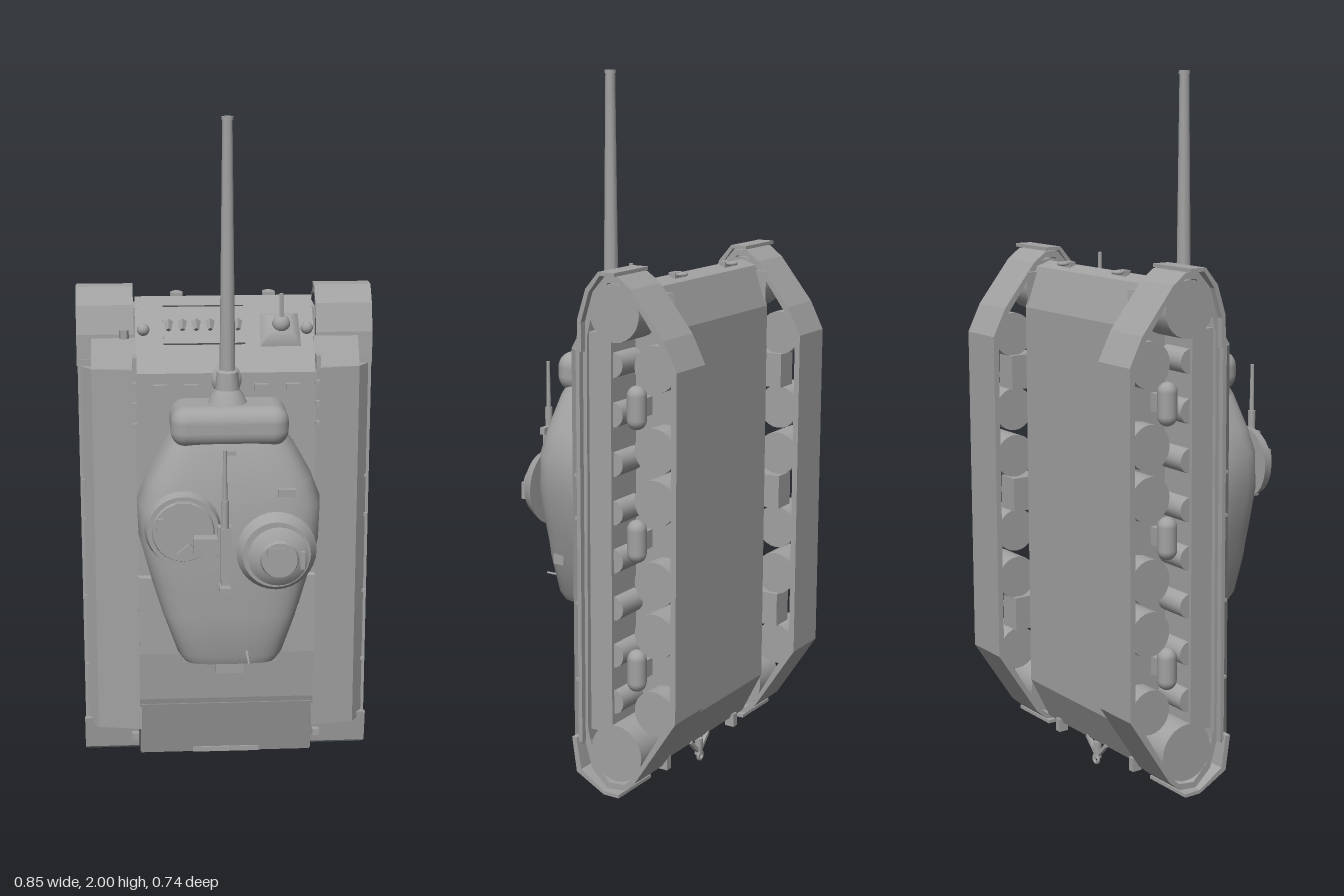
import * as THREE from 'three';
import { toCreasedNormals } from 'three/addons/utils/BufferGeometryUtils.js';
import { RoundedBoxGeometry } from 'three/addons/geometries/RoundedBoxGeometry.js';

const grey = new THREE.MeshStandardMaterial({ color: 0xa2a2a2 });
grey.name = 'grey';

const shapeOf = (pts) => new THREE.Shape(pts.map(([a, b]) => new THREE.Vector2(a, b)));

// Profile of [z, y] points extruded from x0 to x1, with an optional hole
function profileX(pts, x0, x1, hole) {
  const s = shapeOf(pts);
  if (hole) s.holes.push(shapeOf(hole));
  return new THREE.ExtrudeGeometry(s, { depth: x1 - x0, bevelEnabled: false })
    .rotateY(-Math.PI / 2).translate(x1, 0, 0);
}
// Section of [x, z] points extruded from y0 to y1
function prismY(pts, y0, y1) {
  return new THREE.ExtrudeGeometry(shapeOf(pts.map(([x, z]) => [x, -z])), { depth: y1 - y0, bevelEnabled: false })
    .rotateX(-Math.PI / 2).translate(0, y0, 0);
}
// Cast turret body: superelliptic sections [y, halfWidth, z0, z1] lofted downwards
function loft(sections, n = 40) {
  const pos = [], idx = [];
  const tip = ([y, , z0, z1]) => [y, 0, (z0 + z1) / 2, (z0 + z1) / 2];
  const rings = [tip(sections[0]), ...sections, tip(sections[sections.length - 1])];
  const pw = (v) => Math.sign(v) * Math.sqrt(Math.abs(v));
  rings.forEach(([y, w, z0, z1], i) => {
    for (let j = 0; j < n; j++) {
      const t = ((j + 0.5) / n) * Math.PI * 2, v = pw(Math.sin(t));
      const taper = 1 - 0.08 * Math.max(v, 0);
      pos.push(w * taper * pw(Math.cos(t)), y, (z0 + z1) / 2 + (v * (z1 - z0)) / 2);
      if (i < rings.length - 1) {
        const a = i * n + j, b = i * n + ((j + 1) % n);
        idx.push(a, b, a + n, b, b + n, a + n);
      }
    }
  });
  const g = new THREE.BufferGeometry();
  g.setAttribute('position', new THREE.Float32BufferAttribute(pos, 3));
  g.setIndex(idx);
  return toCreasedNormals(g, 0.7);
}

export function createModel() {
  const model = new THREE.Group();
  const add = (name, geo, x = 0, y = 0, z = 0, parent = model) => {
    const m = new THREE.Mesh(geo, grey);
    m.name = name;
    m.position.set(x, y, z);
    parent.add(m);
    return m;
  };
  const box = (name, w, h, d, x, y, z, parent) => add(name, new THREE.BoxGeometry(w, h, d), x, y, z, parent);
  // Cylinder along a chosen axis; the first radius is the +axis end
  const cyl = (name, axis, r1, r2, len, x, y, z, parent, seg = 24) => {
    const g = new THREE.CylinderGeometry(r1, r2, len, seg);
    if (axis === 'x') g.rotateZ(-Math.PI / 2);
    if (axis === 'z') g.rotateX(Math.PI / 2);
    return add(name, toCreasedNormals(g, 0.9), x, y, z, parent);
  };

  // Hull tub with sloped front and rear plates, bow towards +y
  add('hull', profileX([[-0.18, 1.46], [-0.225, 1.445], [-0.265, 1.33], [-0.265, 0.2], [-0.2, 0.07], [-0.05, 0.07],
    [0, 0.25], [0, 1.27]], -0.258, 0.258));
  add('engineDeck', profileX([[-0.05, 0.075], [0.005, 0.27], [0.02, 0.42], [0.02, 0.66], [-0.02, 0.665]], -0.26, 0.26));

  // Track loop and fender profiles
  const loop = [[-0.07, 0.2], [-0.1, 0.1], [-0.15, 0.055], [-0.205, 0.06], [-0.24, 0.09], [-0.37, 0.29], [-0.37, 1.25],
    [-0.33, 1.33], [-0.23, 1.455], [-0.19, 1.485], [-0.15, 1.485], [-0.1, 1.43], [-0.075, 1.33]];
  const inner = loop.map(([z, y]) => [-0.22 + (z + 0.22) * 0.89, 0.77 + (y - 0.77) * 0.975]);
  const frontCap = [[-0.07, 1.28], [-0.074, 1.37], [-0.1, 1.45], [-0.14, 1.497], [-0.19, 1.497], [-0.19, 1.487],
    [-0.145, 1.487], [-0.11, 1.44], [-0.085, 1.36], [-0.085, 1.28]];
  const rearCap = [[-0.045, 0.19], [-0.06, 0.09], [-0.15, 0.043], [-0.2, 0.043], [-0.2, 0.053], [-0.15, 0.053],
    [-0.075, 0.1], [-0.06, 0.19]];
  const shoulder = [[0.255, -0.002], [0.385, -0.025], [0.42, -0.072], [0.255, -0.072]];

  for (const s of [1, -1]) {
    const span = (a, b) => (s > 0 ? [a, b] : [-b, -a]);
    const side = new THREE.Group();
    side.name = s > 0 ? 'leftRunningGear' : 'rightRunningGear';
    model.add(side);
    add('track', profileX(loop, ...span(0.265, 0.408), inner), 0, 0, 0, side);
    add('frontFender', profileX(frontCap, ...span(0.263, 0.427)), 0, 0, 0, side);
    add('rearFender', profileX(rearCap, ...span(0.263, 0.427)), 0, 0, 0, side);
    box('fenderShelf', 0.165, 1.12, 0.012, s * 0.342, 0.74, -0.072, side);

    // Sponson with sloped shoulder and tapering nose
    add('sponson', prismY(shoulder.map(([x, z]) => [s * x, z]), 0.17, 1.28), 0, 0, 0, side);
    add('sponsonNose', profileX([[-0.074, 1.28], [-0.025, 1.28], [-0.074, 1.36]], ...span(0.255, 0.385)), 0, 0, 0, side);
    add('bowCheek', prismY([[s * 0.25, -0.264], [s * 0.25, -0.15], [s * 0.268, -0.15], [s * 0.268, -0.25]], 1.2, 1.43),
      0, 0, 0, side);

    // Road wheels, drive and idler wheels
    for (const y of [0.3, 0.52, 0.665, 0.89, 1.03, 1.25])
      cyl('roadWheel', 'x', 0.063, 0.063, 0.115, s * 0.337, y, -0.295, side);
    cyl('driveSprocket', 'x', 0.078, 0.078, 0.11, s * 0.335, 1.385, -0.165, side);
    cyl('idlerWheel', 'x', 0.082, 0.082, 0.11, s * 0.335, 0.155, -0.168, side);
    // Suspension units between wheel pairs
    for (const y of [0.41, 0.775, 1.14]) {
      box('bogie', 0.07, 0.1, 0.1, s * 0.3, y, -0.26, side);
      add('springHousing', new THREE.CapsuleGeometry(0.027, 0.065, 6, 14), s * 0.385, y, -0.233, side);
      box('springArm', 0.12, 0.05, 0.035, s * 0.325, y, -0.233, side);
    }
    // Upper run resting on its return rollers
    box('upperRun', 0.12, 1.12, 0.07, s * 0.33, 0.77, -0.12, side);
    for (let i = 0; i < 8; i++)
      cyl('returnRoller', 'x', 0.035, 0.035, 0.1, s * 0.33, 0.3 + i * 0.135, -0.15, side, 16);

    // Lamps and brackets on the hull
    add('headlight', new THREE.SphereGeometry(0.018, 14, 10), s * 0.235, 1.385, -0.065);
    cyl('headlightStem', 'z', 0.007, 0.007, 0.06, s * 0.235, 1.375, -0.09, model, 10);
    box('lampGuard', 0.012, 0.04, 0.04, s * 0.262, 1.3, -0.005);
    for (let i = 0; i < 3; i++) box('sideClip', 0.012, 0.012, 0.025, s * 0.262, 1.12 + i * 0.06, 0);
    add('bowTowEye', new THREE.TorusGeometry(0.013, 0.005, 8, 16).rotateX(Math.PI / 2), s * 0.135, 1.463, -0.215);
    box('bowTowBracket', 0.036, 0.02, 0.02, s * 0.135, 1.458, -0.195);
    for (const x of [0.1, 0.19]) box('periscope', 0.04, 0.018, 0.022, s * x, 1.23, 0.005);
    box('rearLamp', 0.02, 0.02, 0.02, s * 0.275, 0.13, -0.045);
    box('rearTowBracket', 0.02, 0.04, 0.03, s * 0.19, 0.065, -0.2);
    for (const y of [0.36, 0.58, 0.82, 0.94]) box('sideRib', 0.012, 0.008, 0.02, s * 0.416, y, -0.066);
  }
  cyl('markerLamp', 'y', 0.014, 0.014, 0.025, -0.29, 1.375, -0.055, model, 14);

  // Sloped bow plate equipment, local z is the plate normal
  const bow = new THREE.Group();
  bow.name = 'bowEquipment';
  bow.position.set(0, 1.365, -0.09);
  bow.rotation.x = -0.81;
  model.add(bow);
  box('spareLinkRack', 0.235, 0.135, 0.008, -0.06, 0.03, 0.004, bow);
  box('rackRail', 0.235, 0.006, 0.014, -0.06, 0.094, 0.007, bow);
  for (let i = 0; i < 6; i++) cyl('linkTooth', 'y', 0.014, 0.008, 0.03, -0.162 + i * 0.04, 0.02, 0.015, bow, 4);
  cyl('bowGunMount', 'z', 0.045, 0.082, 0.03, 0.16, 0.012, 0.015, bow, 4).rotation.z = Math.PI / 4;
  add('bowGunBall', new THREE.SphereGeometry(0.026, 18, 12), 0.162, 0.012, 0.03, bow);
  cyl('bowGunBarrel', 'y', 0.006, 0.006, 0.09, 0.162, 1.44, -0.07, model, 10);
  add('ventilatorDome', new THREE.SphereGeometry(0.045, 20, 12).scale(1, 1, 0.6), 0, 1.25, -0.006);

  // Turret
  const turret = new THREE.Group();
  turret.name = 'turret';
  model.add(turret);
  add('turretBody', loft([[1.125, 0.16, 0.025, 0.18], [1.09, 0.185, 0.01, 0.195], [1, 0.235, 0.004, 0.215],
    [0.93, 0.262, 0.004, 0.228], [0.82, 0.258, 0.004, 0.235], [0.7, 0.226, 0.004, 0.233], [0.655, 0.212, 0.015, 0.231],
    [0.61, 0.197, 0.05, 0.229], [0.49, 0.153, 0.073, 0.222], [0.465, 0.135, 0.085, 0.212]]), 0, 0, 0, turret);
  cyl('turretRing', 'z', 0.22, 0.22, 0.03, 0, 0.89, 0.004, turret, 40);
  add('mantlet', new RoundedBoxGeometry(0.33, 0.115, 0.18, 4, 0.045), 0, 1.155, 0.108, turret);
  box('mantletSight', 0.03, 0.02, 0.02, 0.105, 1.195, 0.15, turret);

  // Main gun
  const gun = [[0, 1.2], [0.06, 1.2], [0.045, 1.235], [0.034, 1.25], [0.03, 1.3], [0.022, 1.305], [0.014, 1.99],
    [0.016, 1.99], [0.016, 2], [0.009, 2], [0.009, 1.95], [0, 1.95]].map(([r, y]) => new THREE.Vector2(r, y));
  add('mainGun', toCreasedNormals(new THREE.LatheGeometry(gun, 24), 0.5), -0.004, 0, 0.108, turret);

  // Commander's cupola
  cyl('cupolaBase', 'z', 0.095, 0.115, 0.035, 0.125, 0.81, 0.245, turret, 32);
  cyl('cupolaDome', 'z', 0.055, 0.088, 0.025, 0.13, 0.805, 0.273, turret, 32);
  cyl('cupolaCap', 'z', 0.05, 0.055, 0.014, 0.13, 0.805, 0.29, turret, 24);
  box('cupolaPeriscope', 0.05, 0.022, 0.012, 0.12, 0.83, 0.296, turret);
  box('cupolaHandle', 0.012, 0.05, 0.015, 0.195, 0.8, 0.28, turret);

  // Flat crew hatch
  cyl('hatchRing', 'z', 0.1, 0.108, 0.03, -0.135, 0.88, 0.238, turret, 32);
  cyl('hatchLid', 'z', 0.084, 0.088, 0.01, -0.135, 0.88, 0.256, turret, 32);
  for (const [x, y, r] of [[-0.135, 0.96, 0], [-0.13, 0.83, 0.7], [-0.2, 0.9, 1.5]])
    box('hatchFitting', 0.045, 0.016, 0.022, x, y, 0.264, turret).rotation.z = r;

  // Roof fittings
  box('roofPeriscope', 0.05, 0.02, 0.016, 0.155, 0.98, 0.226, turret);
  box('roofSight', 0.03, 0.012, 0.02, 0, 1.09, 0.198, turret);
  box('pistolPort', 0.012, 0.03, 0.035, 0.192, 0.61, 0.16, turret);
  cyl('aerial', 'z', 0.003, 0.005, 0.1, 0.045, 0.505, 0.262, turret, 8);
  for (const x of [-0.13, 0, 0.13]) box('bustleHook', 0.014, 0.04, 0.02, x, x ? 0.465 : 0.44, 0.14, turret);
  box('bustleBracket', 0.08, 0.03, 0.02, 0, 0.425, 0.14, turret);

  // Roof machine gun on its pintle
  const mg = new THREE.Group();
  mg.name = 'roofMachineGun';
  mg.position.set(-0.025, 0, 0);
  turret.add(mg);
  cyl('pintle', 'z', 0.01, 0.018, 0.1, 0, 0.87, 0.27, mg, 14);
  box('cradle', 0.038, 0.09, 0.03, 0, 0.87, 0.315, mg);
  box('receiver', 0.022, 0.16, 0.035, 0, 0.84, 0.347, mg);
  cyl('machineGunBarrel', 'y', 0.005, 0.008, 0.22, 0, 1.03, 0.35, mg, 12);
  cyl('barrelJacket', 'y', 0.011, 0.011, 0.1, 0, 0.95, 0.35, mg, 12);
  box('grip', 0.03, 0.012, 0.045, 0, 0.745, 0.345, mg);
  box('ammoBox', 0.065, 0.045, 0.04, -0.052, 0.865, 0.326, mg);

  // Rear tow hitch
  cyl('hitchPin', 'y', 0.012, 0.012, 0.05, 0, 0.045, -0.2, model, 12);
  add('hitchEye', new THREE.TorusGeometry(0.012, 0.005, 8, 16), 0, 0.017, -0.205);
  for (const s of [1, -1]) box('hitchBrace', 0.01, 0.07, 0.012, s * 0.025, 0.05, -0.2).rotation.z = -s * 0.8;
  box('rearPlateStep', 0.2, 0.015, 0.02, 0, 0.08, -0.05);

  return model;
}
